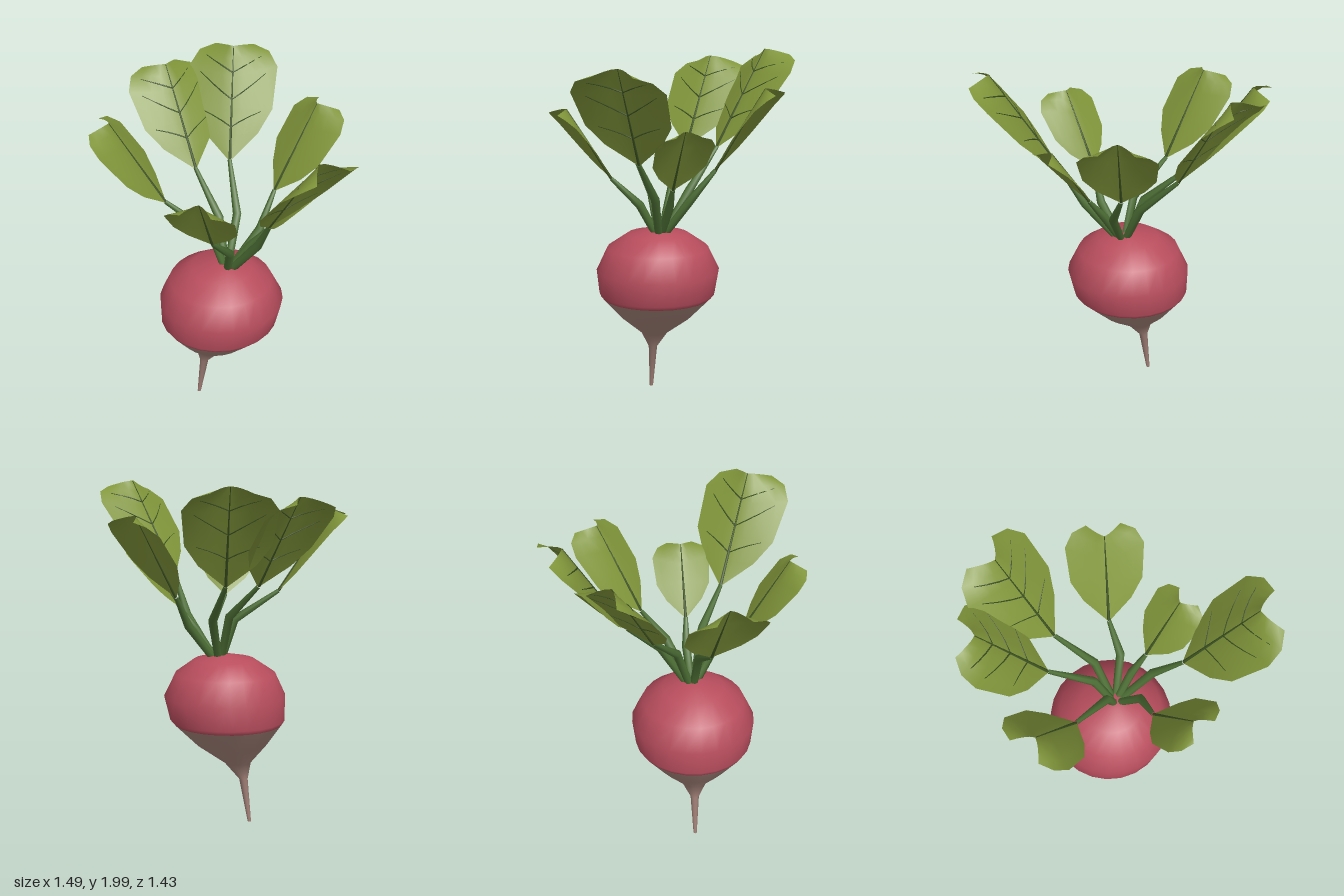
import * as THREE from 'three';

const material = (name, color, side = THREE.FrontSide) => {
  const m = new THREE.MeshStandardMaterial({ color, side });
  m.name = name;
  return m;
};
const V = (p) => new THREE.Vector3(...p);

function buildGeometry(positions, index) {
  const g = new THREE.BufferGeometry();
  g.setAttribute('position', new THREE.Float32BufferAttribute(positions, 3));
  g.setIndex(index);
  g.computeVertexNormals();
  return g;
}

// Round cross-sections joined along a path; level keeps every ring horizontal
function loft(points, radii, sides, level = false) {
  const pos = [], index = [];
  points.forEach((p, i) => {
    const t = level ? new THREE.Vector3(0, 1, 0)
      : points[Math.min(i + 1, points.length - 1)].clone().sub(points[Math.max(i - 1, 0)]).normalize();
    const a = t.clone().cross(new THREE.Vector3(1, 0, 0)).normalize();
    const b = t.clone().cross(a);
    for (let j = 0; j < sides; j++) {
      const ang = (j / sides) * Math.PI * 2;
      const q = p.clone().addScaledVector(a, Math.cos(ang) * radii[i]).addScaledVector(b, Math.sin(ang) * radii[i]);
      pos.push(q.x, q.y, q.z);
      if (i === 0) continue;
      const k = (j + 1) % sides, lo = (i - 1) * sides, hi = i * sides;
      index.push(lo + j, lo + k, hi + k, lo + j, hi + k, hi + j);
    }
  });
  return buildGeometry(pos, index);
}

// Root rings from the tip upwards: centre x, y, radius
const ROOT = [
  [-0.197, 0, 0], [-0.197, 0.001, 0.01], [-0.16, 0.26, 0.025], [-0.125, 0.36, 0.078],
  [-0.09, 0.47, 0.205], [-0.068, 0.595, 0.315], [-0.064, 0.62, 0.334], [-0.048, 0.76, 0.352],
  [-0.05, 0.89, 0.29], [-0.045, 0.97, 0.175], [-0.03, 0.998, 0.05], [-0.03, 1.0, 0],
];
const SKIN_SPLIT = 5; // ring where the pale tip meets the red skin

// Blade rows: position on midrib, then edge position, half width and fold-back (share of length)
const BLADE = [
  [0, 0, 0.015, 0], [0.22, 0.24, 0.24, 0.03], [0.45, 0.46, 0.36, 0.05],
  [0.72, 0.84, 0.39, 0.1], [0.88, 0.98, 0.31, 0.14], [1, 1.04, 0.17, 0.16],
];

// Leaves: stem bend, blade base, blade tip, and whether side veins show
const LEAVES = [
  ['back', [-0.01, 1.22, -0.07], [-0.12, 1.44, -0.27], [-0.2, 1.99, -0.59], true],
  ['backRight', [-0.09, 1.23, 0.01], [-0.28, 1.43, -0.14], [-0.53, 1.93, -0.37], true],
  ['right', [-0.1, 1.2, 0.13], [-0.35, 1.37, 0.16], [-0.64, 1.83, 0.2], false],
  ['front', [0.05, 1.16, 0.24], [0, 1.31, 0.39], [0.02, 1.71, 0.64], false],
  ['frontLeft', [0.19, 1.21, 0.19], [0.29, 1.43, 0.31], [0.59, 1.97, 0.5], true],
  ['left', [0.12, 1.14, 0.09], [0.22, 1.27, 0.1], [0.45, 1.62, 0.1], false],
  ['backLeft', [0.14, 1.18, -0.02], [0.18, 1.36, -0.16], [0.35, 1.82, -0.38], false],
];

// Returns the blade surface as a function of row (0..5) and side (-1..1)
function bladeSurface(base, tip) {
  const dir = tip.clone().sub(base);
  const length = dir.length();
  dir.normalize();
  const out = new THREE.Vector3(dir.x, 0, dir.z).normalize();
  out.addScaledVector(dir, -out.dot(dir)).normalize();
  const across = dir.clone().cross(out);
  return (row, s) => {
    const i = Math.min(Math.floor(row), BLADE.length - 2), f = row - i;
    const [mid, edge, half, fold] = BLADE[i].map((v, k) => THREE.MathUtils.lerp(v, BLADE[i + 1][k], f));
    const r = Math.abs(s);
    return base.clone()
      .addScaledVector(dir, length * THREE.MathUtils.lerp(mid, edge, r))
      .addScaledVector(across, length * half * s)
      .addScaledVector(out, length * fold * Math.pow(r, 1.4));
  };
}

function bladeGeometry(surface) {
  const pos = [], index = [], cols = 8;
  for (let i = 0; i < BLADE.length; i++) {
    for (let j = 0; j <= cols; j++) {
      pos.push(...surface(i, (j / cols) * 2 - 1).toArray());
      if (i === 0 || j === 0) continue;
      const d = i * (cols + 1) + j, c = d - 1, b = d - cols - 1, a = b - 1;
      index.push(a, b, d, a, d, c);
    }
  }
  return buildGeometry(pos, index);
}

export function createModel() {
  const skin = material('red skin', 0xb84d5d);
  const rootTip = material('pale root', 0xa5837a);
  const leafGreen = material('leaf green', 0x80953a, THREE.DoubleSide);
  const stemGreen = material('stem green', 0x4d6f35);
  const veinGreen = material('vein green', 0x3c5222);

  const model = new THREE.Group();
  model.name = 'radish';
  const add = (parent, name, geometry, mat) => {
    const mesh = new THREE.Mesh(geometry, mat);
    mesh.name = name;
    parent.add(mesh);
  };

  // Swollen root with a leaning tail, in two colours
  const sides = 24;
  const root = loft(ROOT.map(([x, y]) => V([x, y, 0.108])), ROOT.map((r) => r[2]), sides, true);
  const split = SKIN_SPLIT * sides * 6;
  root.addGroup(0, split, 0);
  root.addGroup(split, root.index.count - split, 1);
  add(model, 'root', root, [rootTip, skin]);

  // Leaves, each a bent stem, a folded blade and its veins
  for (const [name, bendAt, baseAt, tipAt, veined] of LEAVES) {
    const leaf = new THREE.Group();
    leaf.name = name + 'Leaf';
    model.add(leaf);
    const bend = V(bendAt), base = V(baseAt), tip = V(tipAt);
    const foot = new THREE.Vector3(-0.015, 0.96, 0.108).lerp(new THREE.Vector3(bend.x, 0.96, bend.z), 0.12);
    add(leaf, 'stem', loft([foot, bend, base], [0.022, 0.025, 0.012], 7), stemGreen);
    add(leaf, 'midrib', loft([base, tip], [0.009, 0.002], 5), veinGreen);

    const surface = bladeSurface(base, tip);
    add(leaf, 'blade', bladeGeometry(surface), leafGreen);
    if (!veined) continue;
    for (const side of [-1, 1]) {
      for (const [start, end] of [[1.3, 1.9], [2.3, 2.9], [3.3, 3.8]]) {
        const path = [0, 0.25, 0.5, 0.75].map((s) => surface(THREE.MathUtils.lerp(start, end, s / 0.75), s * side));
        add(leaf, 'sideVein', loft(path, [0.004, 0.004, 0.003, 0.002], 4), veinGreen);
      }
    }
  }
  return model;
}
